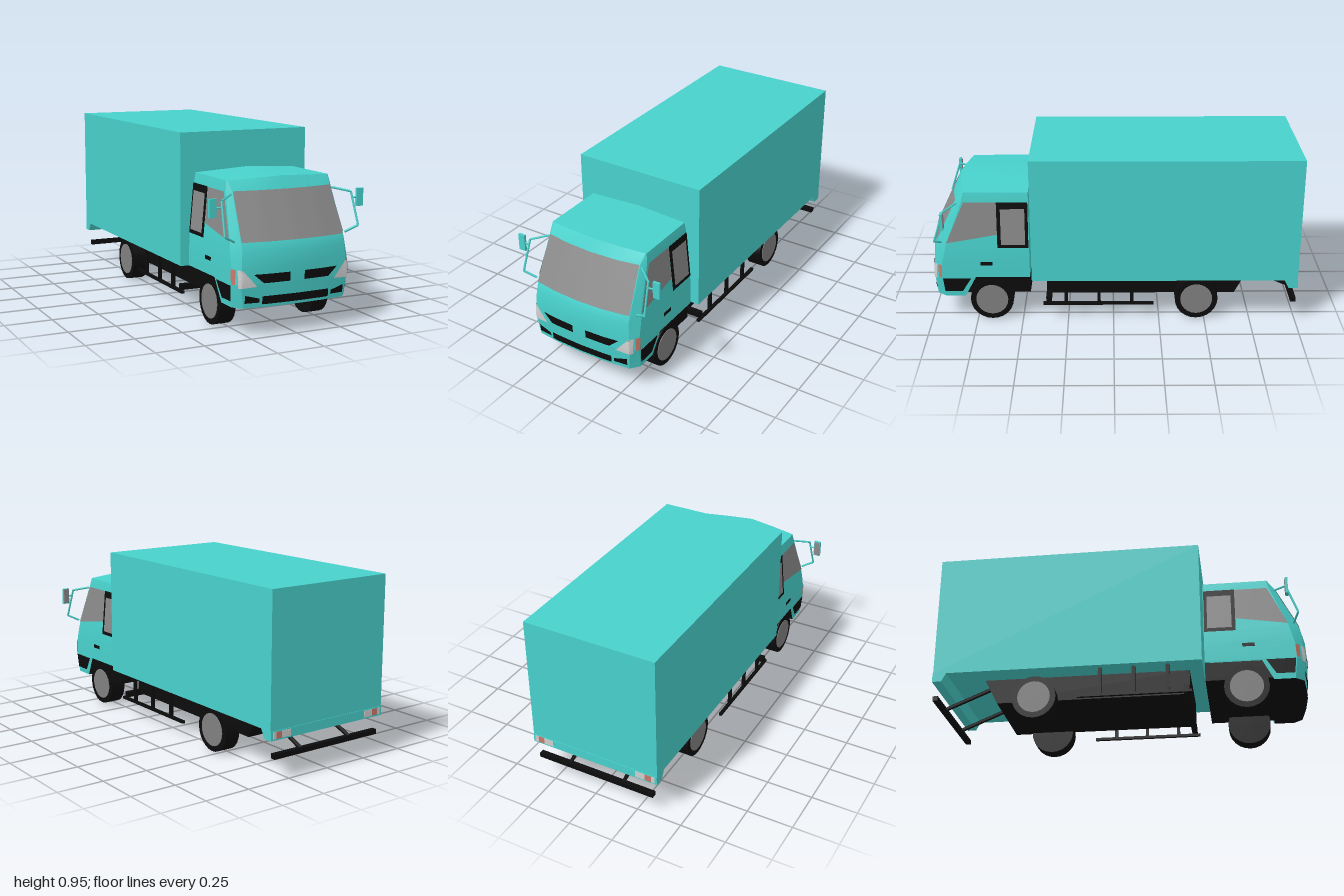
import * as THREE from 'three';
import { toCreasedNormals } from 'three/addons/utils/BufferGeometryUtils.js';

const paint = (name, color) => new THREE.MeshStandardMaterial({ name, color, side: THREE.DoubleSide });

// Cab levels: y, half width, z where the corner starts, corner x, corner z, mid z, centre z
const LEVELS = [
  [0.145, 0.318, 0.92, 0.28, 0.965, 0.98, 0.985],
  [0.26, 0.325, 0.935, 0.295, 0.975, 0.99, 0.995],
  [0.34, 0.325, 0.93, 0.29, 0.972, 0.992, 1.0],
  [0.42, 0.322, 0.91, 0.285, 0.965, 0.988, 0.997],
  [0.46, 0.318, 0.90, 0.285, 0.953, 0.975, 0.983],
  [0.695, 0.296, 0.81, 0.275, 0.84, 0.862, 0.87],
  [0.742, 0.287, 0.80, 0.283, 0.803, 0.825, 0.842],
];
const CAB_BACK = 0.455;

// Half outline of the cab at one level, from the back of the side to the front centre
const halfOutline = ([, w, zs, xc, zc, zm, z0], back = CAB_BACK) =>
  [[w, back], [w, zs], [xc, zc], [0.15, zm], [0, z0]];

function outlineAt(y) {
  let i = 0;
  while (i < LEVELS.length - 2 && y > LEVELS[i + 1][0]) i++;
  const a = LEVELS[i], b = LEVELS[i + 1], t = (y - a[0]) / (b[0] - a[0]);
  return halfOutline(a.map((v, k) => v + (b[k] - v) * t));
}

// Find the other coordinate on the outline: axis 0 looks up by x, axis 1 by z
function lookUp(y, value, axis) {
  const p = outlineAt(y);
  for (let i = axis ? 0 : 1; i < p.length - 1; i++) {
    const a = p[i], b = p[i + 1], t = (value - a[axis]) / (b[axis] - a[axis]);
    if (t >= -1e-6 && t <= 1 + 1e-6) return a[1 - axis] + (b[1 - axis] - a[1 - axis]) * t;
  }
  return p[axis ? 0 : 1][1 - axis];
}

// Sheet through rows of points
function sheet(rows) {
  const n = rows[0].length, index = [];
  for (let i = 0; i < rows.length - 1; i++) {
    for (let j = 0; j < n - 1; j++) {
      const a = i * n + j, c = a + n;
      index.push(a, c, a + 1, a + 1, c, c + 1);
    }
  }
  const g = new THREE.BufferGeometry();
  g.setAttribute('position', new THREE.Float32BufferAttribute(rows.flat(2), 3));
  g.setIndex(index);
  return toCreasedNormals(g, 0.35);
}

// Four-cornered panel laid on the cab skin; corners run bottom start, bottom end, top end, top start
function skinPanel(corners, place, n = 12) {
  const [a, b, c, d] = corners, rows = [];
  for (let i = 0; i <= 4; i++) {
    const row = [];
    for (let j = 0; j <= n; j++) {
      const v = i / 4, u = j / n;
      const mix = k => (a[k] * (1 - u) + b[k] * u) * (1 - v) + (d[k] * (1 - u) + c[k] * u) * v;
      row.push(place(mix(0), mix(1)));
    }
    rows.push(row);
  }
  return sheet(rows);
}
const onFront = (s, lift = 0.004) => (x, y) => [s * x, y, lookUp(y, Math.abs(x), 0) + lift];
const onSide = (s, lift = 0.004) => (z, y) => [s * (lookUp(y, z, 1) + lift), y, z];

export function createModel() {
  const truck = new THREE.Group();
  truck.name = 'boxTruck';
  const teal = paint('teal paint', 0x48d1cc), black = paint('black', 0x0c0c0c);
  const glass = paint('grey glass', 0x8a8a8a), hubGrey = paint('hub grey', 0x808080);
  const lamp = paint('lamp white', 0xcfcfcf), red = paint('lamp red', 0xc8786a);

  const add = (name, geometry, material) => {
    const m = new THREE.Mesh(geometry, material);
    m.name = name;
    truck.add(m);
    return m;
  };
  const box = (name, mat, x0, x1, y0, y1, z0, z1) =>
    add(name, new THREE.BoxGeometry(Math.abs(x1 - x0), y1 - y0, z1 - z0), mat)
      .position.set((x0 + x1) / 2, (y0 + y1) / 2, (z0 + z1) / 2);
  // Side profile of [z, y] points extruded across the width
  const acrossWidth = (name, mat, pts, half) => {
    const shape = new THREE.Shape(pts.map(([z, y]) => new THREE.Vector2(-z, y)));
    const g = new THREE.ExtrudeGeometry(shape, { depth: 2 * half, bevelEnabled: false });
    g.translate(0, 0, -half).rotateY(Math.PI / 2);
    add(name, g, mat);
  };
  const beam = (name, mat, from, to, r) => {
    const path = new THREE.LineCurve3(new THREE.Vector3(...from), new THREE.Vector3(...to));
    add(name, new THREE.TubeGeometry(path, 1, r, 6), mat);
  };

  // Cargo box and rear apron
  box('cargoBox', teal, -0.367, 0.367, 0.257, 0.947, -0.997, 0.443);
  acrossWidth('rearApron', teal, [[-0.925, 0.258], [-0.95, 0.21], [-1, 0.21], [-1, 0.258]], 0.367);

  // Cab shell
  const ring = (lv, back) => {
    const h = halfOutline(lv, back);
    const all = [...h, ...h.slice(0, -1).reverse().map(([x, z]) => [-x, z])];
    const top = lv === LEVELS[6];
    return all.map(([x, z]) => [x, lv[0] + (top ? 0.015 * (1 - Math.abs(x) / 0.287) : 0), z]);
  };
  const upper = LEVELS.slice(1), roofEdge = ring(LEVELS[6]);
  add('cabShell', sheet(upper.map(l => ring(l))), teal);
  add('bumper', sheet([ring(LEVELS[0], 0.81), ring(LEVELS[1], 0.75)]), teal);
  add('cabRoof', sheet([roofEdge, roofEdge.map(([x, y]) => [x, y, CAB_BACK])]), teal);
  add('cabBack', sheet(upper.map((l, i) =>
    [[-l[1], l[0], CAB_BACK], [0, l[0] + (i === 5 ? 0.015 : 0), CAB_BACK], [l[1], l[0], CAB_BACK]])), teal);

  // Cab underside
  box('cabFloor', black, -0.305, 0.305, 0.16, 0.262, CAB_BACK, 0.91);
  const under = ring(LEVELS[0], 0.81);
  add('bumperFloor', sheet([under.map(([x, y]) => [x, y, 0.81]), under]), black);

  // Windscreen and lower grille
  add('windscreen', skinPanel([[0.284, 0.463], [-0.284, 0.463], [-0.274, 0.695], [0.274, 0.695]], onFront(1), 20), glass);
  add('lowerGrille', skinPanel([[0.185, 0.16], [-0.185, 0.16], [-0.185, 0.2], [0.185, 0.2]], onFront(1)), black);

  for (const s of [1, -1]) {
    const front = (name, mat, c) => add(name, skinPanel(c, onFront(s)), mat);
    const side = (name, mat, c, lift) => add(name, skinPanel(c, onSide(s, lift)), mat);

    // Grilles and lamps
    front('upperGrille', black, [[0.18, 0.265], [0.04, 0.265], [0.04, 0.31], [0.232, 0.31]]);
    front('fogLampRecess', black, [[0.275, 0.17], [0.2, 0.17], [0.2, 0.19], [0.275, 0.21]]);
    front('headlight', lamp, [[0.306, 0.245], [0.215, 0.25], [0.285, 0.33], [0.306, 0.335]]);
    side('indicator', red, [[0.933, 0.262], [0.952, 0.262], [0.95, 0.335], [0.93, 0.335]]);

    // Side windows, handle and step
    side('quarterWindow', glass, [[0.625, 0.51], [0.9, 0.462], [0.8, 0.69], [0.625, 0.69]]);
    side('doorWindowFrame', black, [[0.458, 0.435], [0.625, 0.435], [0.625, 0.692], [0.458, 0.692]], 0.005);
    side('doorWindow', glass, [[0.475, 0.455], [0.605, 0.455], [0.605, 0.655], [0.475, 0.655]], 0.008);
    side('doorHandle', black, [[0.655, 0.335], [0.72, 0.335], [0.72, 0.355], [0.655, 0.355]], 0.006);
    side('step', black, [[0.825, 0.175], [0.92, 0.175], [0.928, 0.255], [0.775, 0.255]]);

    // Mirror on a bent bracket
    const bracket = [[0.285, 0.68, 0.84], [0.362, 0.662, 0.9], [0.373, 0.498, 0.955], [0.31, 0.465, 0.93]];
    for (let i = 0; i < 3; i++) {
      const [a, b] = [bracket[i], bracket[i + 1]].map(([x, y, z]) => [s * x, y, z]);
      beam('mirrorBracket', teal, a, b, 0.006);
    }
    beam('mirrorArm', teal, [s * 0.365, 0.63, 0.905], [s * 0.4, 0.63, 0.9], 0.005);
    box('mirrorHousing', teal, s * 0.393, s * 0.431, 0.585, 0.676, 0.895, 0.909);
    box('mirrorGlass', glass, s * 0.396, s * 0.428, 0.589, 0.672, 0.892, 0.895);

    // Wheels
    for (const z of [0.668, -0.455]) {
      const wheel = (name, mat, r, w, x) => {
        const m = add(name, new THREE.CylinderGeometry(r, r, w, 24), mat);
        m.rotation.z = Math.PI / 2;
        m.position.set(s * x, 0.118, z);
      };
      wheel('tyre', black, 0.118, 0.087, 0.2685);
      wheel('hub', hubGrey, 0.088, 0.006, 0.312);
    }

    // Side guard
    box('sideGuardRail', black, s * 0.32, s * 0.336, 0.094, 0.109, -0.22, 0.385);
    for (const z of [0.26, 0.08, -0.1]) {
      box('sideGuardPost', black, s * 0.32, s * 0.336, 0.1, 0.258, z - 0.009, z + 0.009);
    }

    // Rear lamps and underrun struts
    box('rearLampOuter', lamp, s * 0.335, s * 0.355, 0.218, 0.252, -1.003, -0.999);
    box('rearLampRed', red, s * 0.3, s * 0.335, 0.218, 0.252, -1.003, -0.999);
    box('rearLampInner', lamp, s * 0.245, s * 0.3, 0.218, 0.252, -1.003, -0.999);
    beam('underrunStrut', black, [s * 0.16, 0.24, -0.72], [s * 0.16, 0.128, -0.985], 0.011);
  }

  // Chassis and rear underrun bar
  acrossWidth('chassis', black, [[0.37, 0.257], [0.37, 0.12], [-0.67, 0.12], [-0.74, 0.257]], 0.24);
  box('frontCrossbar', black, -0.33, 0.33, 0.11, 0.14, 0.34, 0.37);
  box('underrunBar', black, -0.34, 0.34, 0.112, 0.138, -0.998, -0.97);
  return truck;
}
